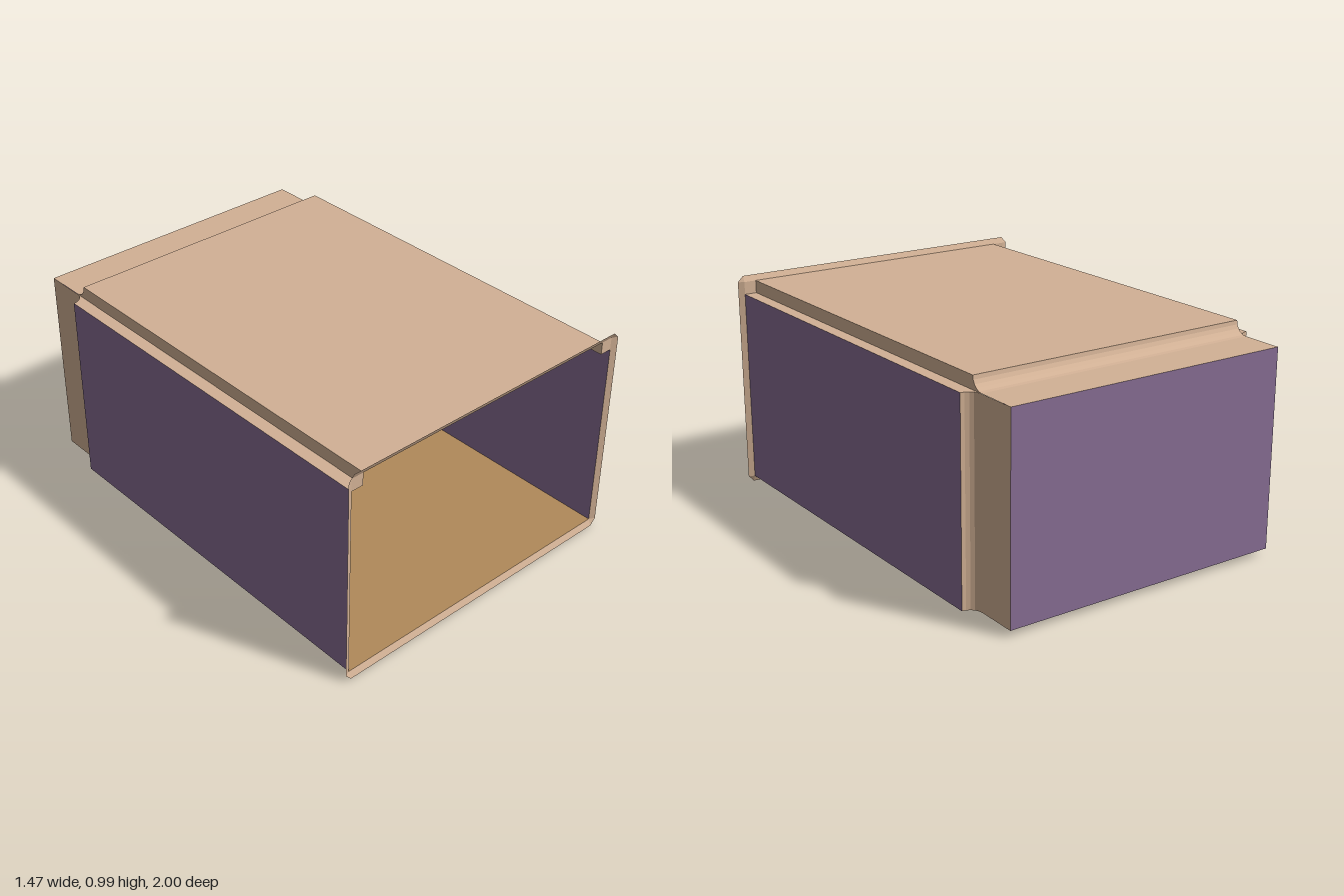
import * as THREE from 'three';

const paint = (name, color) => {
  const m = new THREE.MeshStandardMaterial({ color, side: THREE.DoubleSide });
  m.name = name;
  return m;
};

// Main dimensions: outer and inner half widths, heights and depths
const OUT = 0.711, IN = 0.655;
const FLOOR = 0.029, LEDGE = 0.905, ROOF = 0.962;
const FRONT = 0.987, BACK = -1, R = 0.056, NECK = -0.817;

// Flat-shaded sheet stretched between two rows of points
function sheet(a, b) {
  const pos = [];
  for (let i = 0; i < a.length - 1; i++) {
    for (const p of [a[i], b[i], a[i + 1], a[i + 1], b[i], b[i + 1]]) pos.push(...p);
  }
  const g = new THREE.BufferGeometry();
  g.setAttribute('position', new THREE.Float32BufferAttribute(pos, 3));
  g.computeVertexNormals();
  return g;
}

// Concave quarter curve from the body to the narrower neck, as [offset, z]
function neckCurve(outer) {
  const pts = [];
  for (let i = 0; i <= 5; i++) {
    const a = (i / 5) * Math.PI / 2;
    pts.push([outer - R * Math.sin(a), NECK + R * Math.cos(a)]);
  }
  return pts;
}

export function createModel() {
  const tan = paint('tan trim', 0xd2b195);
  const purple = paint('purple panel', 0x866d92);
  const ochre = paint('ochre floor', 0xb08a5a);

  const model = new THREE.Group();
  model.name = 'openBox';
  const add = (name, geometry, material) => {
    const mesh = new THREE.Mesh(geometry, material);
    mesh.name = name;
    model.add(mesh);
    return mesh;
  };

  const sideCurve = neckCurve(OUT);
  const roofCurve = neckCurve(ROOF);

  // Floor follows the stepped side outline
  const outline = [[OUT, FRONT], ...sideCurve, [IN, BACK]];
  add('floor', sheet(
    outline.map(([x, z]) => [x, FLOOR, z]),
    outline.map(([x, z]) => [-x, FLOOR, z])), ochre);

  // Roof: raised panel, curve down and neck top in one sheet
  const roofLine = [[ROOF, FRONT], ...roofCurve, [LEDGE, BACK]];
  add('roof', sheet(
    roofLine.map(([y, z]) => [-IN, y, z]),
    roofLine.map(([y, z]) => [IN, y, z])), tan);

  // Back panel
  add('backPanel', sheet(
    [[-IN, FLOOR, BACK], [IN, FLOOR, BACK]],
    [[-IN, LEDGE, BACK], [IN, LEDGE, BACK]]), purple);

  for (const [side, s] of [['left', 1], ['right', -1]]) {
    const wall = (line) => sheet(
      line.map(([x, z]) => [s * x, FLOOR, z]),
      line.map(([x, z]) => [s * x, LEDGE, z]));
    add(side + 'Panel', wall([[OUT, FRONT], sideCurve[0]]), purple);
    add(side + 'Neck', wall([...sideCurve, [IN, BACK]]), tan);

    // Ledge beside the raised roof, and the step up to it
    const ledge = [[OUT, FRONT], ...sideCurve];
    add(side + 'Ledge', sheet(
      ledge.map(([x, z]) => [s * x, LEDGE, z]),
      ledge.map(([, z]) => [s * IN, LEDGE, z])), tan);
    const step = [[ROOF, FRONT], ...roofCurve];
    add(side + 'RoofStep', sheet(
      step.map(([y, z]) => [s * IN, y, z]),
      step.map(([, z]) => [s * IN, LEDGE, z])), tan);

    // Square plate filling the front upper corner
    add(side + 'CornerPlate', new THREE.PlaneGeometry(OUT - IN, ROOF - LEDGE), tan)
      .position.set(s * (OUT + IN) / 2, (ROOF + LEDGE) / 2, FRONT);
  }

  // Flared front rim with clipped corners
  const W = 0.737, TOP = 0.988;
  const inner = [], outer = [];
  for (const [x, y] of [[1, ROOF], [-1, ROOF], [-1, FLOOR], [1, FLOOR]]) {
    const edgeY = y === ROOF ? TOP : 0;
    const clipped = [[x * W, y, 1], [x * OUT, edgeY, 1]];
    if (x * (y === ROOF ? 1 : -1) < 0) clipped.reverse();
    outer.push(...clipped);
    inner.push([x * OUT, y, FRONT], [x * OUT, y, FRONT]);
  }
  outer.push(outer[0]);
  inner.push(inner[0]);
  add('frontRim', sheet(inner, outer), tan);

  return model;
}
